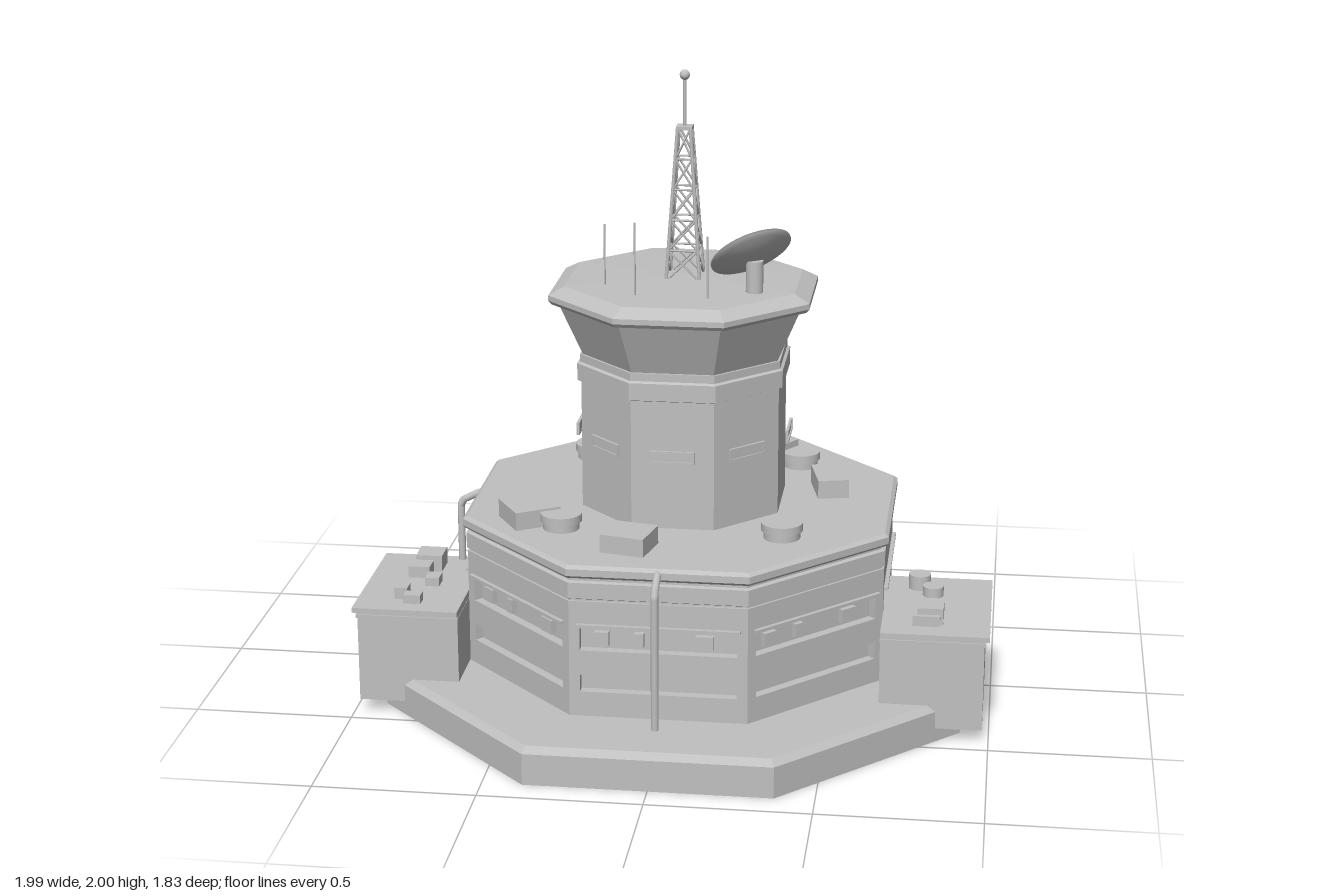
import * as THREE from 'three';

const concrete = new THREE.MeshStandardMaterial({ color: 0xc0c0c0 });
concrete.name = 'concrete grey';

function add(parent, name, geometry, x = 0, y = 0, z = 0, ry = 0) {
  const mesh = new THREE.Mesh(geometry, concrete);
  mesh.name = name;
  mesh.position.set(x, y, z);
  mesh.rotation.y = ry;
  parent.add(mesh);
  return mesh;
}

function group(parent, name) {
  const g = new THREE.Group();
  g.name = name;
  parent.add(g);
  return g;
}

// Flat-sided octagonal solid from [apothem, y] pairs, bottom to top.
function octagon(profile) {
  const pts = profile.map(([a, y]) => new THREE.Vector2(a / Math.cos(Math.PI / 8), y));
  const g = new THREE.LatheGeometry(pts, 8, Math.PI / 8).toNonIndexed();
  g.computeVertexNormals();
  return g;
}

const box = (w, h, d) => new THREE.BoxGeometry(w, h, d);
const drum = (r, h, sides = 24) => new THREE.CylinderGeometry(r, r, h, sides);

// Round bar between two points.
function bar(parent, name, a, b, r) {
  const dir = b.clone().sub(a);
  const mesh = add(parent, name, new THREE.CylinderGeometry(r, r, dir.length(), 6));
  mesh.position.copy(a).addScaledVector(dir, 0.5);
  mesh.quaternion.setFromUnitVectors(new THREE.Vector3(0, 1, 0), dir.normalize());
}

function rect(path, x0, y0, x1, y1) {
  path.moveTo(x0, y0);
  path.lineTo(x1, y0);
  path.lineTo(x1, y1);
  path.lineTo(x0, y1);
  path.closePath();
  return path;
}

// Upright plate with rectangular openings, its front at z = depth.
function plate(outer, holes, depth) {
  const shape = rect(new THREE.Shape(), ...outer);
  for (const h of holes) shape.holes.push(rect(new THREE.Path(), ...h));
  return new THREE.ExtrudeGeometry(shape, { depth, bevelEnabled: false });
}

function buildHall(root) {
  const hall = group(root, 'mainHall');
  add(hall, 'hallCore', octagon([[0, 0.12], [0.63, 0.12], [0.63, 0.5], [0, 0.5]]));
  add(hall, 'hallCornice', octagon([[0.6, 0.49], [0.652, 0.49], [0.652, 0.5], [0.662, 0.505], [0.662, 0.555], [0.648, 0.558], [0.648, 0.575], [0, 0.575]]));
  add(hall, 'hallRoof', octagon([[0, 0.572], [0.665, 0.572], [0.672, 0.58], [0.672, 0.602], [0.66, 0.612], [0, 0.612]]));
  for (let i = 0; i < 8; i++) {
    const face = group(hall, 'hallFace');
    face.rotation.y = i * Math.PI / 4;
    const windows = i === 4 ? [] : [[-0.24, 0.2, 0.24, 0.255], [-0.24, 0.335, 0.24, 0.415]];
    add(face, 'wallPanel', plate([-0.273, 0.12, 0.273, 0.495], windows, 0.03), 0, 0, 0.629);
    if (i === 4) continue;
    add(face, 'windowHood', box(0.5, 0.01, 0.016), 0, 0.418, 0.664);
    for (const [x, w] of [[-0.175, 0.045], [-0.06, 0.03], [0.14, 0.055]]) {
      add(face, 'windowEquipment', box(w, 0.045, 0.02), x, 0.37, 0.64);
    }
  }

  // Back entrance
  const door = group(hall, 'entrance');
  door.rotation.y = Math.PI;
  add(door, 'doorFrame', plate([-0.155, 0.12, 0.155, 0.455], [[-0.115, 0.12001, 0.115, 0.42]], 0.035), 0, 0, 0.655);
  add(door, 'doorPanel', box(0.24, 0.3, 0.02), 0, 0.27, 0.665);
  add(door, 'doorLintel', box(0.32, 0.012, 0.045), 0, 0.457, 0.678);

  // Drain pipes on the front and right walls
  for (const turn of [0, -Math.PI / 2]) {
    const path = new THREE.CurvePath();
    const p = [[0.735, 0.11], [0.735, 0.55], [0.725, 0.567], [0.67, 0.595], [0.64, 0.597]].map(([z, y]) => new THREE.Vector3(0, y, z));
    for (let i = 0; i < p.length - 1; i++) path.add(new THREE.LineCurve3(p[i], p[i + 1]));
    add(hall, 'drainPipe', new THREE.TubeGeometry(path, 60, 0.012, 10), 0, 0, 0, turn);
  }

  // Roof equipment
  for (const x of [-0.345, 0.345]) for (const z of [-0.345, 0.345]) {
    add(hall, 'roofVent', drum(0.057, 0.045), x, 0.628, z);
    add(hall, 'roofVentCap', drum(0.065, 0.026), x, 0.65, z);
  }
  const units = [
    [-0.035, -0.525, 0.14, 0.1, 0.085, 0.05], [0.265, -0.375, 0.09, 0.11, 0.075, -0.6],
    [0.46, -0.11, 0.1, 0.165, 0.062, 0.22], [-0.455, 0.29, 0.15, 0.15, 0.06, 0.55],
    [-0.11, 0.495, 0.14, 0.135, 0.06, -0.22]
  ];
  for (const [x, z, w, d, h, ry] of units) add(hall, 'roofUnit', box(w, h, d), x, 0.61 + h / 2, z, ry);
}

function buildTower(root) {
  const tower = group(root, 'controlTower');
  add(tower, 'towerShaft', octagon([[0, 0.6], [0.312, 0.6], [0.312, 1.025], [0.324, 1.03], [0.324, 1.085], [0.315, 1.09], [0.315, 1.115], [0, 1.115]]));
  add(tower, 'flaredCrown', octagon([[0, 1.11], [0.305, 1.11], [0.378, 1.285], [0, 1.285]]));
  add(tower, 'towerRoof', octagon([[0, 1.283], [0.398, 1.283], [0.407, 1.295], [0.407, 1.312], [0.36, 1.338], [0, 1.35]]));
  for (let i = 0; i < 8; i++) {
    const face = group(tower, 'towerFace');
    face.rotation.y = i * Math.PI / 4;
    const z = i === 2 || i === 6 ? 0.33 : 0.311;
    add(face, 'slitWindowFrame', plate([-0.07, 0.825, 0.07, 0.866], [[-0.063, 0.832, 0.063, 0.859]], 0.009), 0, 0, z);
    add(face, 'slitWindow', box(0.128, 0.029, 0.004), 0, 0.845, z + 0.003);
  }
}

function buildMast(root) {
  const mast = group(root, 'latticeMast');
  const y0 = 1.34, y1 = 1.82, levels = 5;
  const corner = (k, t) => {
    const s = THREE.MathUtils.lerp(0.053, 0.02, t);
    const [sx, sz] = [[1, 1], [1, -1], [-1, -1], [-1, 1]][k % 4];
    return new THREE.Vector3(sx * s, THREE.MathUtils.lerp(y0, y1, t), sz * s);
  };
  for (let k = 0; k < 4; k++) {
    bar(mast, 'mastLeg', corner(k, 0), corner(k, 1), 0.006);
    for (let i = 0; i < levels; i++) {
      const a = i / levels, b = (i + 1) / levels;
      bar(mast, 'mastBrace', corner(k, a), corner(k + 1, b), 0.0035);
      bar(mast, 'mastBrace', corner(k + 1, a), corner(k, b), 0.0035);
      bar(mast, 'mastRung', corner(k, b), corner(k + 1, b), 0.0035);
    }
  }
  add(mast, 'mastCap', box(0.05, 0.01, 0.05), 0, 1.82, 0);
  add(mast, 'mastRod', drum(0.005, 0.17, 10), 0, 1.9, 0);
  add(mast, 'mastBall', new THREE.SphereGeometry(0.016, 16, 12), 0, 1.984, 0);

  // Whip aerials
  for (const [x, z, top] of [[-0.235, 0.125, 1.535], [-0.125, 0.235, 1.57], [0.1, 0.245, 1.535]]) {
    add(root, 'whipAerial', drum(0.003, top - 1.33, 8), x, (top + 1.33) / 2, z);
  }
}

function buildDish(root) {
  const dish = group(root, 'dishAntenna');
  add(dish, 'dishPost', drum(0.027, 0.1), 0.235, 1.39, 0.15);
  const head = group(dish, 'dishHead');
  head.position.set(0.22, 1.465, 0.13);
  head.quaternion.setFromUnitVectors(new THREE.Vector3(0, 1, 0), new THREE.Vector3(-0.41, 0.73, -0.55).normalize());
  const R = 0.131, pts = [];
  for (let i = 0; i <= 8; i++) pts.push(new THREE.Vector2(R * i / 8, 0.032 * ((i / 8) ** 2 - 1) - 0.006));
  for (let i = 8; i >= 0; i--) pts.push(new THREE.Vector2(R * i / 8, 0.032 * ((i / 8) ** 2 - 1)));
  add(head, 'dishBowl', new THREE.LatheGeometry(pts, 40));
  add(head, 'dishFeed', drum(0.004, 0.085, 8), 0, 0.012, 0);
}

function buildAnnexes(root) {
  for (const s of [-1, 1]) {
    const annex = group(root, s > 0 ? 'leftAnnex' : 'rightAnnex');
    add(annex, 'annexBody', box(0.32, 0.31, 0.465), s * 0.82, 0.2, 0.222);
    add(annex, 'annexRoof', box(0.335, 0.016, 0.486), s * 0.8275, 0.35, 0.222);
    add(annex, 'annexTrim', box(0.326, 0.012, 0.474), s * 0.822, 0.328, 0.222);
    add(annex, 'sideVent', box(0.02, 0.04, 0.12), s * 0.98, 0.285, 0.222);
  }
  const boxes = [
    [-0.82, 0.08, 0.085, 0.085, 0.055], [-0.84, 0.15, 0.07, 0.07, 0.04], [-0.783, 0.225, 0.045, 0.055, 0.03],
    [-0.857, 0.35, 0.042, 0.048, 0.04], [-0.815, 0.387, 0.055, 0.042, 0.03],
    [0.798, 0.348, 0.085, 0.095, 0.035], [0.81, 0.335, 0.08, 0.09, 0.055]
  ];
  for (const [x, z, w, d, h] of boxes) add(root, 'annexRoofUnit', box(w, h, d), x, 0.356 + h / 2, z);
  add(root, 'annexRoofVent', drum(0.035, 0.05), 0.765, 0.38, 0.068);
  add(root, 'annexRoofVent', drum(0.033, 0.035), 0.81, 0.373, 0.13);
}

function buildBase(root) {
  add(root, 'foundation', octagon([[0, 0], [0.912, 0], [0.912, 0.1], [0.893, 0.12], [0, 0.12]]));
  const step = add(root, 'entranceKerb', drum(0.013, 0.44, 12), 0, 0.108, -0.908);
  step.rotation.z = Math.PI / 2;

  // Round landing pad beside the entrance
  const pad = group(root, 'landingPad');
  pad.position.set(-0.535, 0.12, -0.62);
  add(pad, 'padDisc', drum(0.228, 0.018, 48), 0, 0, 0);
  const rim = [[0.212, 0], [0.232, 0], [0.232, 0.014], [0.212, 0.014], [0.212, 0]].map(([r, y]) => new THREE.Vector2(r, y));
  add(pad, 'padRim', new THREE.LatheGeometry(rim, 48));
  for (let i = 0; i < 4; i++) {
    const a = i * Math.PI / 2;
    add(pad, 'padLamp', drum(0.01, 0.012, 12), 0.222 * Math.sin(a), 0.018, 0.222 * Math.cos(a));
  }
}

export function createModel() {
  const root = new THREE.Group();
  root.name = 'outpost';
  buildBase(root);
  buildHall(root);
  buildTower(root);
  buildMast(root);
  buildDish(root);
  buildAnnexes(root);
  return root;
}
